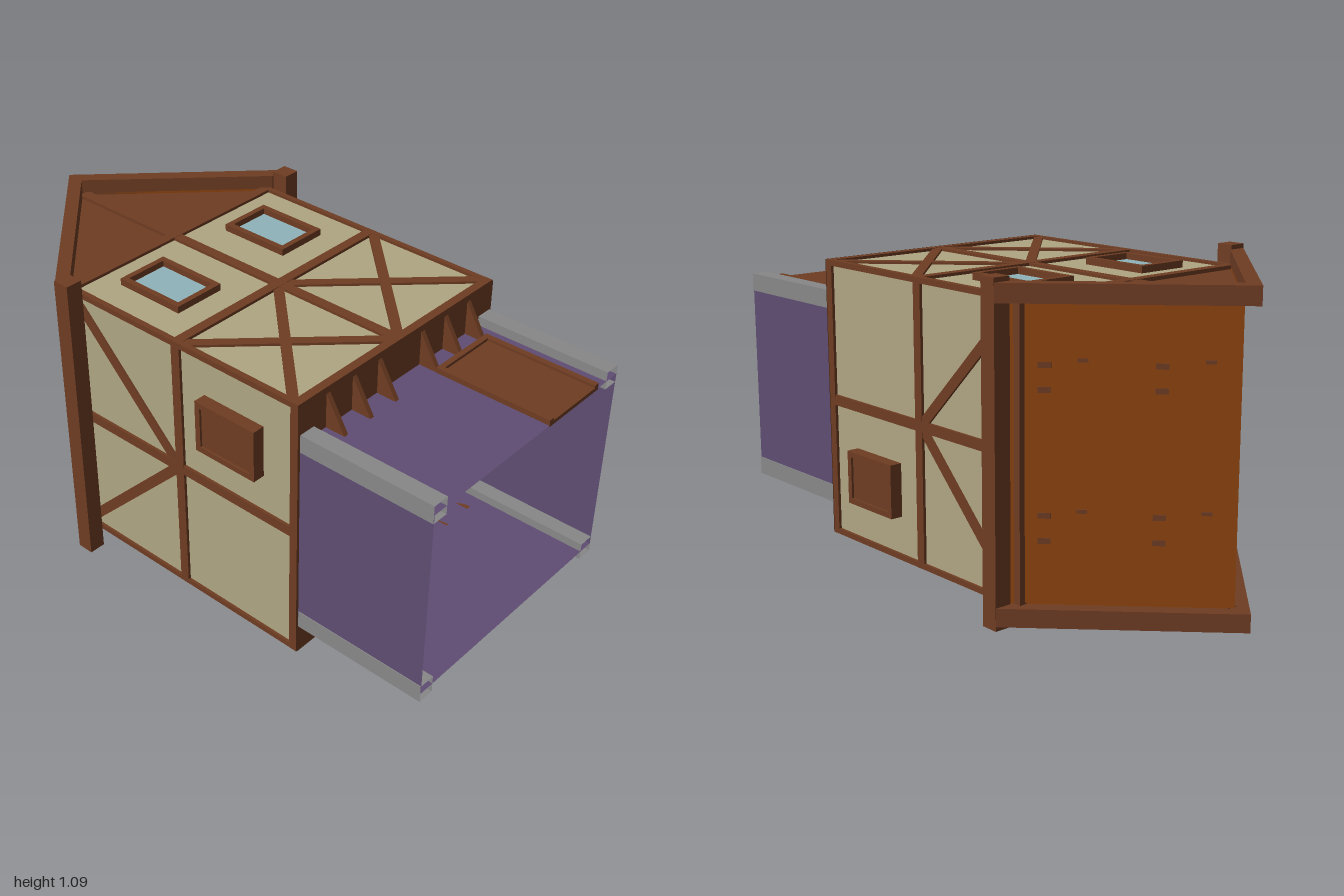
import * as THREE from 'three';

const mat = (name, color, side = THREE.FrontSide) => {
  const m = new THREE.MeshStandardMaterial({ color, side });
  m.name = name;
  return m;
};

export function createModel() {
  const timber = mat('timber brown', 0x6f3d23, THREE.DoubleSide);
  const plaster = mat('plaster cream', 0xb0a683, THREE.DoubleSide);
  const stone = mat('corner grey', 0x888888, THREE.DoubleSide);
  const purple = mat('lower wall purple', 0x5f4d73, THREE.DoubleSide);
  const roofMat = mat('roof orange brown', 0x8f4510, THREE.DoubleSide);
  const glass = mat('window blue', 0x8fb3ba);

  // The house is modelled upright, then laid on its back wall
  const house = new THREE.Group();
  house.name = 'house';
  house.rotation.x = -Math.PI / 2;
  house.position.y = 0.545;

  const add = (parent, name, geo, material) => {
    const m = new THREE.Mesh(geo, material);
    m.name = name;
    parent.add(m);
    return m;
  };
  // Box given by its minimum and maximum corners
  const box = (parent, name, material, x0, x1, y0, y1, z0, z1) => {
    const m = add(parent, name, new THREE.BoxGeometry(x1 - x0, y1 - y0, z1 - z0), material);
    m.position.set((x0 + x1) / 2, (y0 + y1) / 2, (z0 + z1) / 2);
    return m;
  };
  // Straight timber between two points of a wall
  const beam = (wall, x0, y0, x1, y1, w, depth = 0.02) => {
    const len = Math.hypot(x1 - x0, y1 - y0);
    const m = add(wall, 'beam', new THREE.BoxGeometry(len, w, depth), timber);
    m.position.set((x0 + x1) / 2, (y0 + y1) / 2, -0.01);
    m.rotation.z = Math.atan2(y1 - y0, x1 - x0);
  };
  // Framed window or shutter standing proud of a wall
  const windowAt = (wall, cx, cy, w, h, out, pane) => {
    const g = new THREE.Group();
    g.name = 'window';
    g.position.set(cx, cy, 0);
    wall.add(g);
    const t = 0.02, a = w / 2, b = h / 2;
    for (const s of [-1, 1]) {
      box(g, 'windowFrame', timber, -a, a, s * (b - t / 2) - t / 2, s * (b - t / 2) + t / 2, -0.02, out);
      box(g, 'windowFrame', timber, s * (a - t / 2) - t / 2, s * (a - t / 2) + t / 2, t - b, b - t, -0.02, out);
    }
    box(g, 'windowPane', pane, t - a, a - t, t - b, b - t, -0.016, pane === glass ? -0.007 : out - 0.008);
  };

  // Upper storey: four timbered walls; a runs half the wall length
  const B = -0.51, T = 0.47;
  const makeWall = (name, angle, a, dist) => {
    const wall = new THREE.Group();
    wall.name = name;
    wall.rotation.y = angle;
    wall.position.set(Math.sin(angle) * dist, 0, Math.cos(angle) * dist);
    house.add(wall);
    const p = add(wall, 'plaster', new THREE.PlaneGeometry(2 * a - 0.016, T - B), plaster);
    p.position.set(0, (T + B) / 2, -0.01);
    beam(wall, -a, B + 0.015, a, B + 0.015, 0.03);
    beam(wall, -a, T, a, T, 0.035);
    beam(wall, -a, -0.008, a, -0.008, 0.035);
    beam(wall, 0, B, 0, T, 0.036, 0.019);
    for (const s of [-1, 1]) beam(wall, s * (a - 0.007), B, s * (a - 0.007), T, 0.014, 0.019);
    return wall;
  };
  for (const [name, angle] of [['frontWall', 0], ['backWall', Math.PI]]) {
    const w = makeWall(name, angle, 0.475, 0.485);
    for (const s of [-1, 1]) {
      beam(w, s * 0.02, -0.48, s * 0.462, -0.025, 0.034, 0.017);
      beam(w, s * 0.02, -0.025, s * 0.462, -0.48, 0.034, 0.016);
      windowAt(w, s * 0.245, 0.24, 0.192, 0.262, 0.014, glass);
    }
  }
  for (const s of [-1, 1]) {
    const w = makeWall(s > 0 ? 'leftWall' : 'rightWall', s * Math.PI / 2, 0.485, 0.475);
    for (const k of [-1, 1]) beam(w, 0, 0, k * 0.43, 0.43, 0.036, 0.017);
    windowAt(w, 0.243, -0.243, 0.185, 0.245, 0.034, timber);
  }

  // Underside of the overhang, open into the ground floor
  const rect = (p, a, b) => p.moveTo(-a, -b).lineTo(a, -b).lineTo(a, b).lineTo(-a, b).closePath();
  const ring = rect(new THREE.Shape(), 0.475, 0.485);
  ring.holes.push(rect(new THREE.Path(), 0.47, 0.345));
  const under = add(house, 'overhangUnderside', new THREE.ShapeGeometry(ring), timber);
  under.rotation.x = Math.PI / 2;
  under.position.y = -0.513;

  // Ground floor: thin walls and hollow corner posts
  for (const s of [-1, 1]) {
    const side = add(house, 'lowerSideWall', new THREE.PlaneGeometry(0.69, 0.49), purple);
    side.rotation.y = s * Math.PI / 2;
    side.position.set(s * 0.465, -0.755, 0);
    const face = add(house, s > 0 ? 'lowerFrontWall' : 'lowerBackWall', new THREE.PlaneGeometry(0.93, 0.49), purple);
    if (s < 0) face.rotation.y = Math.PI;
    face.position.set(0, -0.755, s * 0.345);
    for (const k of [-1, 1]) {
      const geo = new THREE.CylinderGeometry(Math.SQRT1_2, Math.SQRT1_2, 0.487, 4, 1, true)
        .rotateY(Math.PI / 4).scale(0.06, 1, 0.063).toNonIndexed();
      geo.computeVertexNormals();
      add(house, 'cornerPost', geo, stone).position.set(s * 0.438, -0.7565, k * 0.3465);
    }
  }

  // Door with frame
  box(house, 'door', timber, 0.115, 0.34, -1, -0.6, 0.34, 0.354);
  box(house, 'doorFrame', timber, 0.095, 0.36, -0.6, -0.58, 0.34, 0.364);
  for (const x of [0.095, 0.34]) box(house, 'doorFrame', timber, x, x + 0.02, -1, -0.6, 0.34, 0.364);

  // Triangular brackets beneath the overhang
  const tri = new THREE.Shape([[0.345, -0.585], [0.345, -0.51], [0.47, -0.51]].map(p => new THREE.Vector2(...p)));
  for (const s of [-1, 1]) for (const x of [-0.345, -0.225, -0.105, 0.105, 0.225, 0.345]) {
    const geo = new THREE.ExtrudeGeometry(tri, { depth: 0.017, bevelEnabled: false })
      .translate(0, 0, -0.0085).rotateY(-s * Math.PI / 2);
    // Rotation points the bracket's profile along +z or -z
    add(house, 'bracket', geo, timber).position.x = x;
  }

  // Roof slopes with small odd tiles
  const len = 0.485 * Math.SQRT2;
  for (const s of [-1, 1]) {
    const slope = new THREE.Group();
    slope.name = s > 0 ? 'leftRoofSlope' : 'rightRoofSlope';
    slope.position.set(s * 0.2425, 0.6925, 0);
    slope.rotation.z = -s * Math.PI / 4;
    house.add(slope);
    add(slope, 'roofPanel', new THREE.PlaneGeometry(len, 0.96).rotateX(-Math.PI / 2), roofMat);
    for (const x of [0.41, 0.165]) for (const z of [0.28, 0.205, -0.185, -0.265])
      box(slope, 'tile', timber, -0.02, 0.02, -0.003, 0.003, -0.009, 0.009)
        .position.set(s * (x - 0.2425) * Math.SQRT2, 0, z);
    for (const x of [0.33, 0.065]) for (const z of [0.295, -0.17])
      box(slope, 'tile', timber, -0.016, 0.016, -0.003, 0.003, -0.006, 0.006)
        .position.set(s * (x - 0.2425) * Math.SQRT2, 0, z);
    // Eave beam along each side
    const x = s * 0.515;
    box(house, 'eaveBeam', timber, x - 0.03, x + 0.03, 0.395, 0.456, -0.545, 0.545);
  }

  // Gables and barge boards at both ends
  const chevron = new THREE.Shape([[0, 1], [-0.545, 0.455], [-0.48, 0.455], [0, 0.935], [0.48, 0.455], [0.545, 0.455]]
    .map(p => new THREE.Vector2(...p)));
  const gable = new THREE.Shape([[-0.475, 0.46], [0.475, 0.46], [0, 0.935]].map(p => new THREE.Vector2(...p)));
  for (const s of [-1, 1]) {
    const end = new THREE.Group();
    end.name = s > 0 ? 'frontGable' : 'backGable';
    if (s < 0) end.rotation.y = Math.PI;
    house.add(end);
    add(end, 'gablePanel', new THREE.ShapeGeometry(gable), timber).position.z = 0.472;
    add(end, 'bargeBoard', new THREE.ExtrudeGeometry(chevron, { depth: 0.06, bevelEnabled: false }), timber).position.z = 0.47;
    box(end, 'gablePost', timber, -0.02, 0.02, 0.46, 0.925, 0.468, 0.484);
  }

  const model = new THREE.Group();
  model.name = 'timberHouse';
  model.add(house);
  return model;
}
